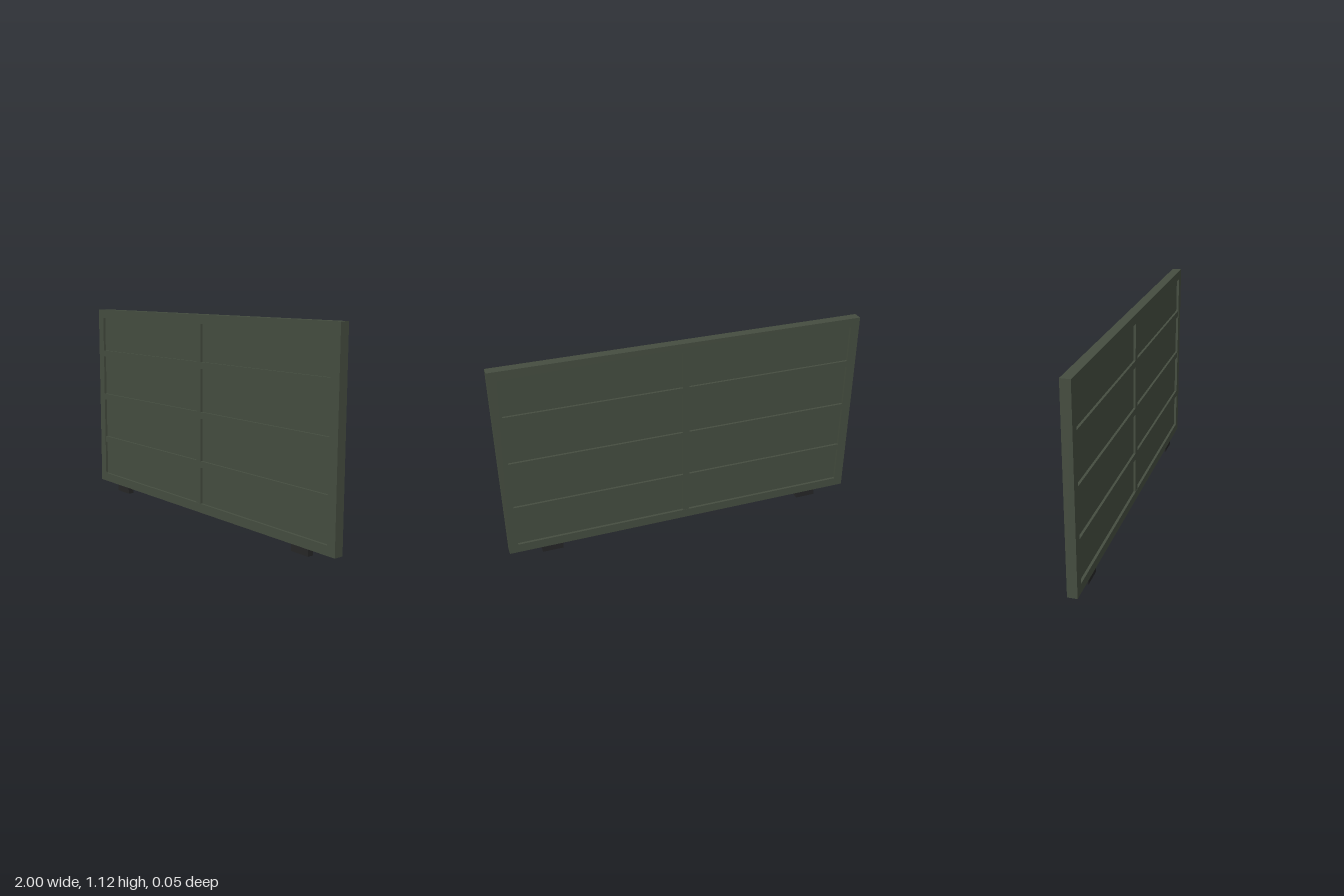
import * as THREE from 'three';

export function createModel() {
  const model = new THREE.Group();
  model.name = 'partitionPanel';

  const green = new THREE.MeshStandardMaterial({ color: 0x454d40 });
  green.name = 'olive green paint';
  const black = new THREE.MeshStandardMaterial({ color: 0x262627 });
  black.name = 'black rubber';

  const box = (name, mat, w, h, d, x, y, z = 0) => {
    const mesh = new THREE.Mesh(new THREE.BoxGeometry(w, h, d), mat);
    mesh.name = name;
    mesh.position.set(x, y, z);
    model.add(mesh);
  };

  const bottom = 0.04, top = 1.12, border = 0.05;
  const frameDepth = 0.052, barDepth = 0.049, sheetDepth = 0.024;
  const innerW = 2 - 2 * border, innerH = top - bottom - 2 * border;
  const midY = (top + bottom) / 2;

  // Outer frame: two stiles with rails fitted between them
  for (const s of [-1, 1]) {
    box(s > 0 ? 'leftStile' : 'rightStile', green, border, top - bottom, frameDepth, s * (1 - border / 2), midY);
    box(s > 0 ? 'topRail' : 'bottomRail', green, innerW, border, frameDepth, 0, midY + s * (innerH + border) / 2);
  }

  // Thin sheet filling the frame
  box('infillSheet', green, innerW, innerH, sheetDepth, 0, midY);

  // Three cross rails, with the centre mullion split between them
  const railH = 0.036, railYs = [0.31, 0.58, 0.85];
  railYs.forEach((y, i) => box('crossRail' + (i + 1), green, innerW, railH, barDepth, 0, y));
  const stops = [bottom + border - railH / 2, ...railYs, top - border + railH / 2];
  for (let i = 0; i < stops.length - 1; i++) {
    const lo = stops[i] + railH / 2, hi = stops[i + 1] - railH / 2;
    box('mullion' + (i + 1), green, 0.036, hi - lo, barDepth, -0.005, (lo + hi) / 2);
  }

  // Feet
  for (const s of [-1, 1])
    box(s > 0 ? 'leftFoot' : 'rightFoot', black, 0.115, bottom, 0.035, s * 0.765, bottom / 2);

  return model;
}
